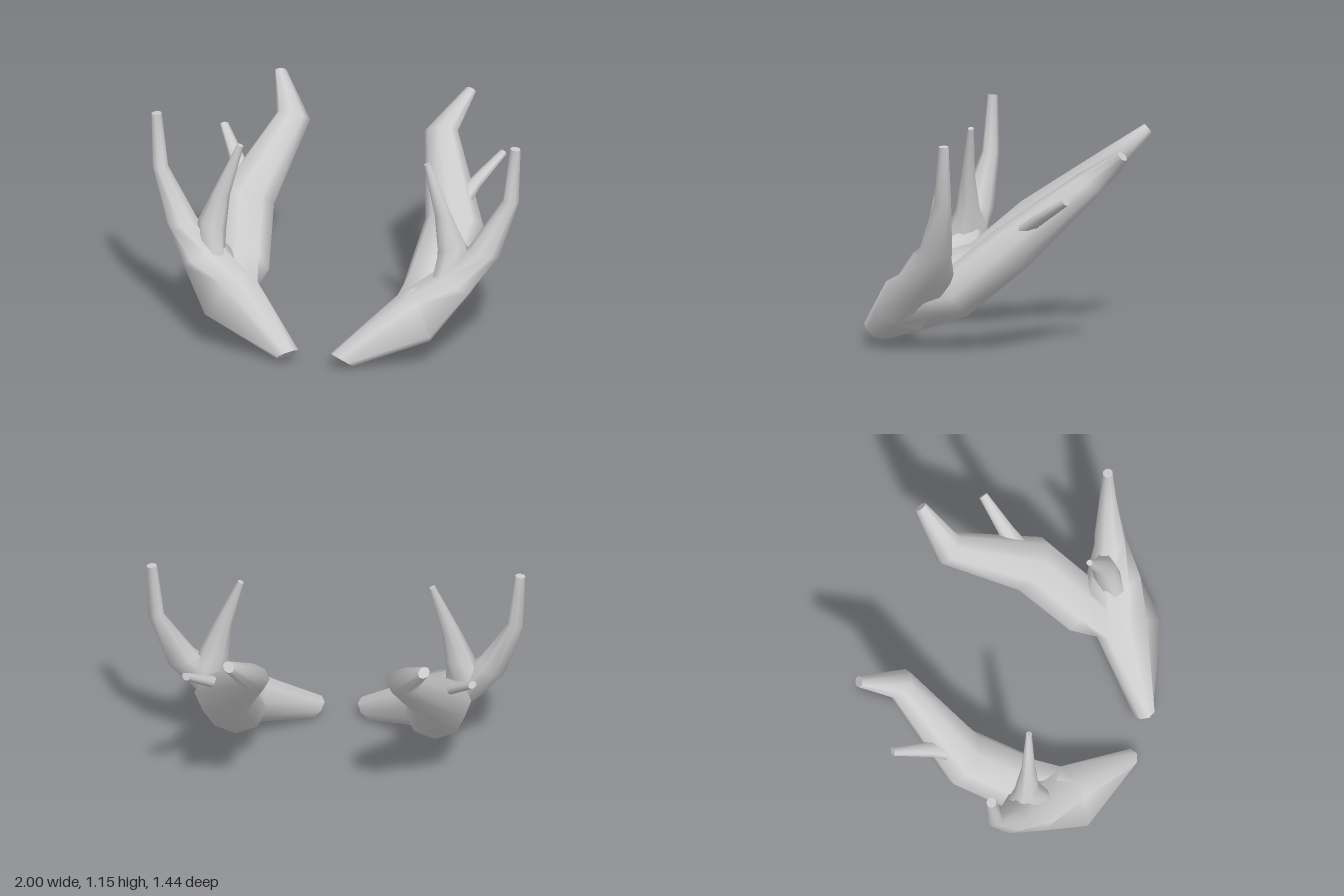
import * as THREE from 'three';

const SIDES = 8;
const material = new THREE.MeshStandardMaterial({ color: 0xcccccc });

// Elliptical ring from a centre and two half axes; u points outward.
function ellipse(centre, u, v) {
  return Array.from({ length: SIDES }, (_, j) => {
    const t = (j / SIDES) * Math.PI * 2;
    return centre.map((c, i) => c + u[i] * Math.cos(t) + v[i] * Math.sin(t));
  });
}

// Angular section where the outer tine leaves the main beam
const FORK = [
  [0.61, 0.20, 0.60], [0.53, 0.36, 0.55], [0.45, 0.35, 0.48], [0.38, 0.32, 0.38],
  [0.39, 0.26, 0.32], [0.45, 0.17, 0.31], [0.54, 0.10, 0.37], [0.585, 0.13, 0.50],
];

const PARTS = {
  mainBeam: [
    ellipse([0.147, 0.045, 0.66], [0.06, -0.032, -0.003], [0, 0.032, 0.06]),
    FORK,
    ellipse([0.525, 0.30, 0.18], [0.16, 0, 0], [0, 0.12, 0.06]),
    ellipse([0.57, 0.545, -0.11], [0.16, 0, 0.01], [0, 0.095, 0.09]),
    ellipse([0.40, 0.88, -0.51], [0.09, 0.01, 0], [0, 0.05, 0.06]),
    ellipse([0.515, 1.045, -0.70], [0.03, 0, 0.012], [0, 0.025, 0.02]),
  ],
  outerTine: [
    FORK,
    ellipse([0.67, 0.405, 0.315], [0.10, -0.025, 0.095], [-0.03, 0.055, 0.10]),
    ellipse([0.82, 0.565, 0.248], [0.08, -0.02, 0.01], [-0.01, 0.01, 0.088]),
    ellipse([0.95, 0.845, 0.195], [0.042, -0.005, 0], [0, 0, 0.045]),
    ellipse([0.972, 1.143, 0.187], [0.028, -0.003, 0], [0, 0, 0.027]),
  ],
  innerTine: [
    ellipse([0.66, 0.455, 0.29], [0.085, 0.04, -0.01], [-0.05, -0.015, 0.11]),
    ellipse([0.648, 0.58, 0.275], [0.075, 0.02, 0], [-0.01, 0, 0.062]),
    ellipse([0.60, 0.76, 0.268], [0.045, 0.01, 0], [0, 0, 0.037]),
    ellipse([0.505, 1.03, 0.24], [0.016, 0.006, 0], [0, 0, 0.016]),
  ],
  rearTine: [
    ellipse([0.58, 0.63, -0.165], [0.06, 0, 0.033], [0, 0.035, 0.015]),
    ellipse([0.64, 0.708, -0.26], [0.038, 0, 0.022], [0, 0.03, 0.013]),
    ellipse([0.755, 0.828, -0.433], [0.021, 0, 0.013], [0, 0.018, 0.01]),
  ],
};

// Smooth skin through the rings, with flat caps; side = -1 mirrors it in x.
function loft(rings, side) {
  const positions = [];
  const index = [];
  const put = ([x, y, z]) => positions.push(x * side, y, z) / 3 - 1;
  const face = (a, b, c) => index.push(a, ...(side > 0 ? [b, c] : [c, b]));
  const addRing = (ring) => ring.map(put)[0];

  // Sides
  const starts = rings.map(addRing);
  for (let i = 0; i + 1 < starts.length; i++) {
    for (let j = 0; j < SIDES; j++) {
      const k = (j + 1) % SIDES;
      const [a, b, c, d] = [starts[i] + j, starts[i] + k, starts[i + 1] + j, starts[i + 1] + k];
      face(a, c, b);
      face(b, c, d);
    }
  }

  // Caps, with their own vertices for a crisp edge
  for (const [ring, isEnd] of [[rings[0], false], [rings[rings.length - 1], true]]) {
    const start = addRing(ring);
    for (let j = 1; j + 1 < SIDES; j++) {
      if (isEnd) face(start, start + j + 1, start + j);
      else face(start, start + j, start + j + 1);
    }
  }

  const geometry = new THREE.BufferGeometry();
  geometry.setAttribute('position', new THREE.Float32BufferAttribute(positions, 3));
  geometry.setIndex(index);
  geometry.computeVertexNormals();
  return geometry;
}

export function createModel() {
  const model = new THREE.Group();
  model.name = 'antlers';
  for (const side of [1, -1]) {
    const antler = new THREE.Group();
    antler.name = side > 0 ? 'leftAntler' : 'rightAntler';
    for (const [name, rings] of Object.entries(PARTS)) {
      const mesh = new THREE.Mesh(loft(rings, side), material);
      mesh.name = name;
      antler.add(mesh);
    }
    model.add(antler);
  }
  return model;
}
